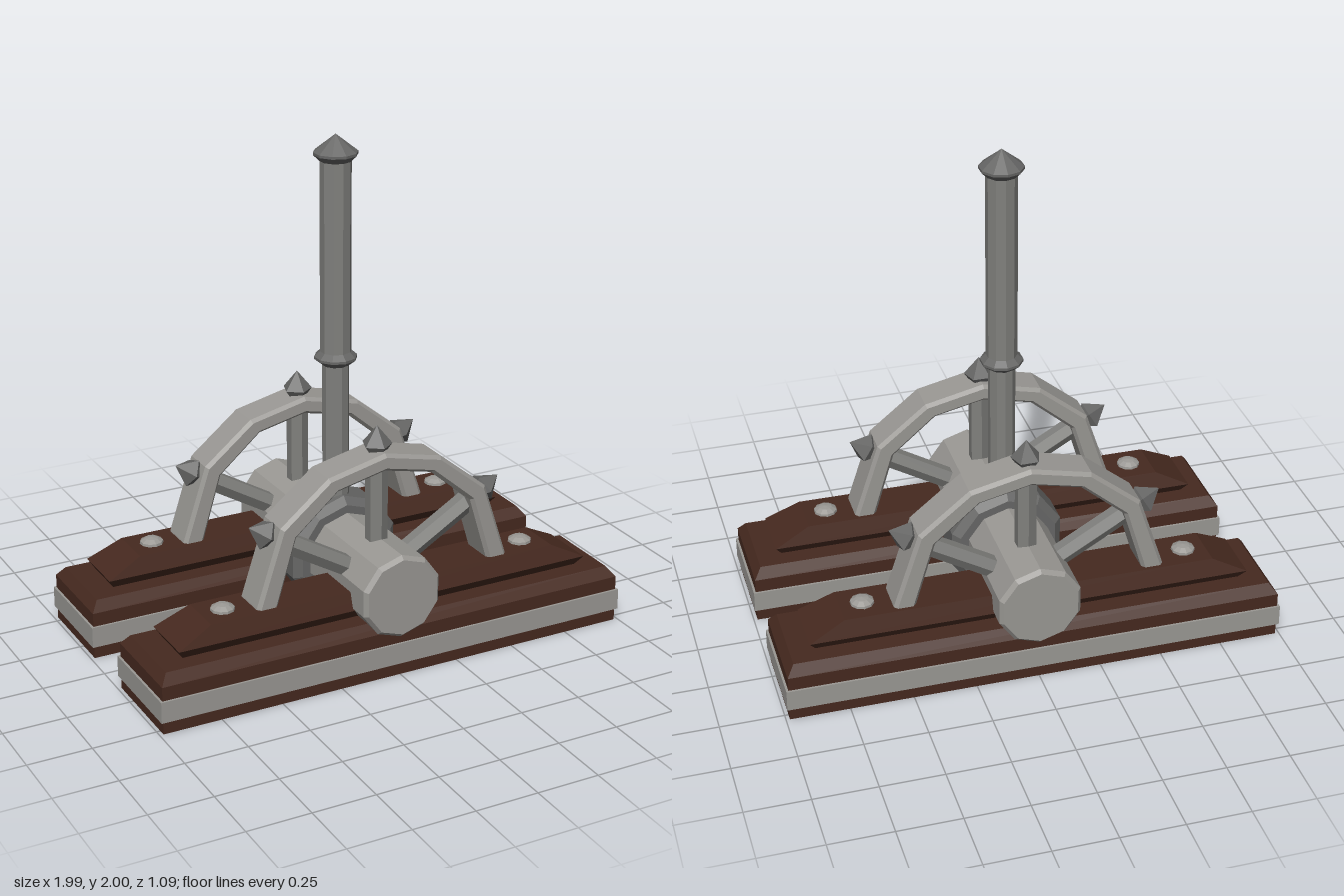
import * as THREE from 'three';

const mat = (name, color, extra = {}) => {
  const m = new THREE.MeshStandardMaterial({ color, flatShading: true, ...extra });
  m.name = name;
  return m;
};

export function createModel() {
  const wood = mat('dark wood', 0x46291f);
  const light = mat('light metal', 0x9a9894);
  const mid = mat('mid metal', 0x80807d);
  const dark = mat('dark metal', 0x676766);
  const model = new THREE.Group();

  const add = (parent, name, geometry, material, x = 0, y = 0, z = 0) => {
    const mesh = new THREE.Mesh(geometry, material);
    mesh.name = name;
    mesh.position.set(x, y, z);
    parent.add(mesh);
    return mesh;
  };
  const lathe = (points, sides) =>
    new THREE.LatheGeometry(points.map(([r, y]) => new THREE.Vector2(r, y)), sides);

  // Rectangular loft through rings of [y, half x, half z], capped at both ends
  const loft = (rings) => {
    const pos = [], idx = [];
    for (const [y, hx, hz] of rings) pos.push(hx, y, hz, hx, y, -hz, -hx, y, -hz, -hx, y, hz);
    for (let i = 0; i < rings.length - 1; i++) {
      for (let j = 0; j < 4; j++) {
        const a = i * 4 + j, b = i * 4 + ((j + 1) % 4);
        idx.push(a, b, b + 4, a, b + 4, a + 4);
      }
    }
    const t = (rings.length - 1) * 4;
    idx.push(0, 2, 1, 0, 3, 2, t, t + 1, t + 2, t, t + 2, t + 3);
    const g = new THREE.BufferGeometry();
    g.setAttribute('position', new THREE.Float32BufferAttribute(pos, 3));
    g.setIndex(idx);
    const flat = g.toNonIndexed();
    flat.computeVertexNormals();
    return flat;
  };

  const rect = (path, hx, hz) => {
    path.moveTo(-hx, -hz);
    path.lineTo(hx, -hz);
    path.lineTo(hx, hz);
    path.lineTo(-hx, hz);
    path.closePath();
    return path;
  };

  // Hollow stepped plinth: cavity ceiling, down inside, then up the outside
  const plinthGeo = loft([
    [0.19, 0.95, 0.165], [0, 0.95, 0.165], [0, 0.985, 0.197], [0.19, 0.985, 0.197],
    [0.23, 0.955, 0.165], [0.23, 0.855, 0.09], [0.27, 0.88, 0.118], [0.34, 0.74, 0.095],
  ]);

  // Metal band around the plinth; its ends show inside the cavity
  const bandShape = rect(new THREE.Shape(), 0.994, 0.206);
  bandShape.holes.push(rect(new THREE.Path(), 0.945, 0.17));
  const bandGeo = new THREE.ExtrudeGeometry(bandShape, { depth: 0.085, bevelEnabled: false });
  bandGeo.rotateX(-Math.PI / 2);

  // Faceted half-wheel arch
  const outer = [[0.55, 0.3], [0.54, 0.345], [0.44, 0.648], [0.24, 0.81]];
  const inner = [[0.465, 0.3], [0.452, 0.345], [0.375, 0.6], [0.2, 0.75]];
  const mirror = (half, topY) =>
    [...half, [0, topY], ...half.map(([x, y]) => [-x, y]).reverse()];
  const archPoints = [...mirror(outer, 0.865), ...mirror(inner, 0.795).reverse()];
  const archGeo = new THREE.ExtrudeGeometry(
    new THREE.Shape(archPoints.map(([x, y]) => new THREE.Vector2(x, y))),
    { depth: 0.13, bevelThickness: 0.015, bevelSize: 0.013, bevelOffset: -0.013, bevelSegments: 1 });
  archGeo.translate(0, 0, -0.065);

  const spikeGeo = lathe([[0.038, 0.52], [0.06, 0.55], [0, 0.625]], 5);
  const spokeGeo = new THREE.CylinderGeometry(0.043, 0.043, 0.42, 6);
  spokeGeo.translate(0, 0.29, 0);
  const rivetGeo = lathe([[0.048, 0.335], [0.046, 0.35], [0.026, 0.362], [0, 0.366]], 10);

  for (const side of [1, -1]) {
    const half = new THREE.Group();
    half.name = side > 0 ? 'frontSide' : 'backSide';
    half.position.z = 0.332 * side;
    model.add(half);
    add(half, 'plinth', plinthGeo, wood);
    add(half, 'plinthBand', bandGeo, light, 0, 0.05, 0);
    add(half, 'axleBlock', new THREE.BoxGeometry(0.2, 0.04, 0.22), wood, 0, 0.175, 0);
    add(half, 'arch', archGeo, light);
    for (const x of [-0.65, 0.65]) add(half, 'rivet', rivetGeo, light, x, 0, 0);
    // Spokes and spikes radiate from the axle
    for (const a of [-1, 0, 1]) {
      const angle = a * THREE.MathUtils.degToRad(-59.5);
      add(half, 'spoke', spokeGeo, mid, 0, 0.33, 0).rotation.z = angle;
      add(half, 'spike', spikeGeo, dark, 0, 0.33, 0).rotation.z = angle;
    }
  }

  // Axle and central hub
  const axle = lathe([[0, -0.547], [0.155, -0.547], [0.17, -0.53],
    [0.17, 0.53], [0.155, 0.547], [0, 0.547]], 10);
  add(model, 'axle', axle, light, 0, 0.332, 0).rotation.x = Math.PI / 2;
  const hub = lathe([[0, -0.096], [0.205, -0.096], [0.235, -0.068],
    [0.235, 0.068], [0.205, 0.096], [0, 0.096]], 10);
  add(model, 'hub', hub, dark, 0, 0.33, 0).rotation.x = Math.PI / 2;

  // Lever with collar and pointed cap
  add(model, 'leverShaft', lathe([[0.053, 0.5], [0.053, 1.1]], 10), mid);
  add(model, 'leverCollar',
    lathe([[0.05, 1.09], [0.084, 1.117], [0.084, 1.127], [0.058, 1.15]], 10), dark);
  add(model, 'leverGrip', lathe([[0.061, 1.14], [0.061, 1.905]], 10), mid);
  add(model, 'leverCap',
    lathe([[0.058, 1.895], [0.086, 1.922], [0.086, 1.932], [0, 2.0]], 10), dark);

  return model;
}
